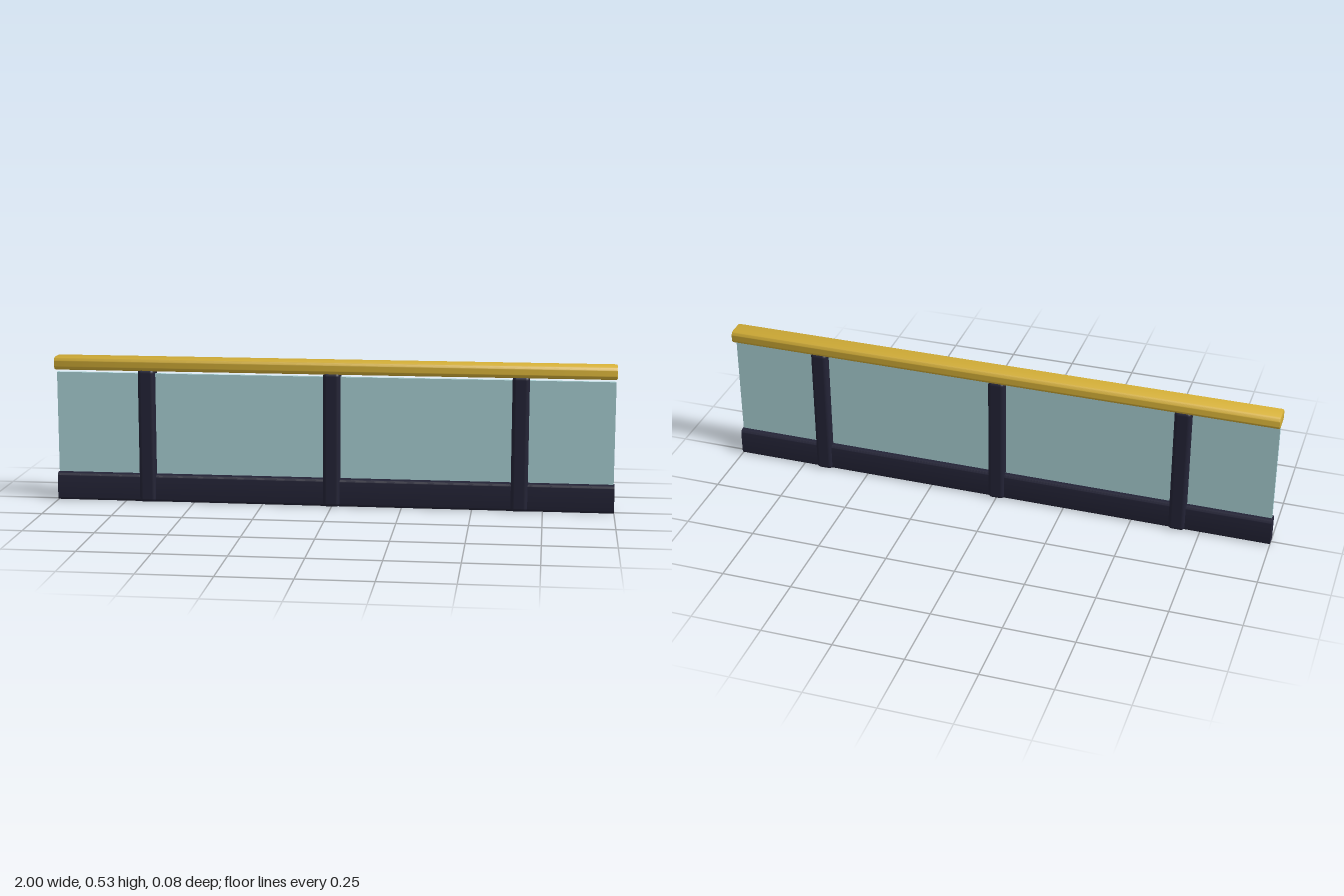
import * as THREE from 'three';
import { toCreasedNormals } from 'three/addons/utils/BufferGeometryUtils.js';
import { RoundedBoxGeometry } from 'three/addons/geometries/RoundedBoxGeometry.js';

const gold = new THREE.MeshStandardMaterial({ color: 0xd4af37 });
gold.name = 'brass';
const dark = new THREE.MeshStandardMaterial({ color: 0x232336 });
dark.name = 'dark metal';
const glass = new THREE.MeshStandardMaterial({ color: 0xa6cdd1 });
glass.name = 'pale glass';

// Bar along x with a rounded rectangular section and optionally eased ends
function roundedBar(length, height, depth, radius, bevel) {
  const w = depth / 2 - bevel, h = height / 2 - bevel, r = radius - bevel;
  const s = new THREE.Shape();
  s.moveTo(-w + r, -h);
  s.lineTo(w - r, -h);
  s.absarc(w - r, -h + r, r, -Math.PI / 2, 0);
  s.lineTo(w, h - r);
  s.absarc(w - r, h - r, r, 0, Math.PI / 2);
  s.lineTo(-w + r, h);
  s.absarc(-w + r, h - r, r, Math.PI / 2, Math.PI);
  s.lineTo(-w, -h + r);
  s.absarc(-w + r, -h + r, r, Math.PI, Math.PI * 1.5);
  const g = new THREE.ExtrudeGeometry(s, {
    depth: length - 2 * bevel, curveSegments: 5,
    bevelEnabled: bevel > 0, bevelSize: bevel, bevelThickness: bevel, bevelSegments: 2,
  });
  g.translate(0, 0, -length / 2 + bevel);
  g.rotateY(Math.PI / 2);
  return toCreasedNormals(g, 0.6);
}

export function createModel() {
  const railing = new THREE.Group();
  railing.name = 'glassRailing';
  const add = (name, geometry, material, x, y) => {
    const mesh = new THREE.Mesh(geometry, material);
    mesh.name = name;
    mesh.position.set(x, y, 0);
    railing.add(mesh);
  };

  // Horizontal members
  add('handrail', roundedBar(2, 0.048, 0.08, 0.018, 0.005), gold, 0, 0.502);
  add('baseRail', roundedBar(2, 0.1, 0.05, 0.012, 0), dark, 0, 0.05);

  // Posts
  const postX = [-0.667, 0, 0.667];
  const post = new RoundedBoxGeometry(0.06, 0.485, 0.07, 3, 0.014);
  postX.forEach((x, i) => add(`post${i + 1}`, post, dark, x, 0.2425));

  // Glass panes between the posts and out to the ends
  const edges = [-0.997, ...postX, 0.997];
  for (let i = 0; i < 4; i++) {
    const a = edges[i], b = edges[i + 1];
    add(`pane${i + 1}`, new THREE.BoxGeometry(b - a, 0.365, 0.013), glass, (a + b) / 2, 0.2845);
  }
  return railing;
}
